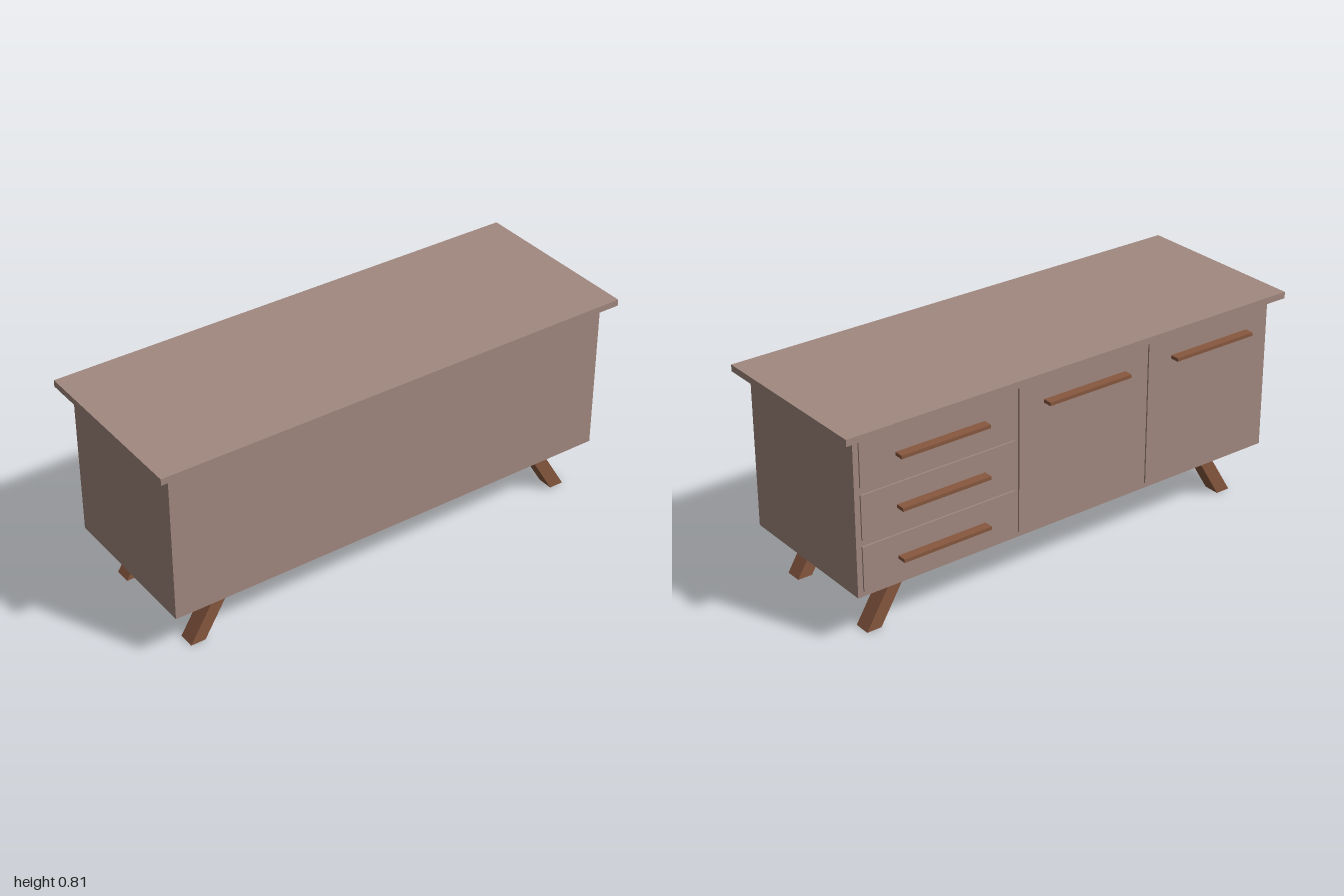
import * as THREE from 'three';

export function createModel() {
  const model = new THREE.Group();
  model.name = 'sideboard';
  const painted = new THREE.MeshStandardMaterial({ color: 0xa1887f });
  const wood = new THREE.MeshStandardMaterial({ color: 0x87583f });

  // Box given by its centre and size
  function box(name, material, [x, y, z], [w, h, d]) {
    const mesh = new THREE.Mesh(new THREE.BoxGeometry(w, h, d), material);
    mesh.name = name;
    mesh.position.set(x, y, z);
    model.add(mesh);
  }

  // Carcass and overhanging top
  box('cabinetBody', painted, [0, 0.4925, 0], [1.812, 0.595, 0.618]);
  box('tableTop', painted, [0, 0.8025, 0], [1.907, 0.025, 0.698]);

  // Slightly raised panel with a bar handle, on the -z side
  const panelFace = -0.315;
  function panel(name, x0, x1, y0, y1, handleY) {
    const x = (x0 + x1) / 2;
    box(name, painted, [x, (y0 + y1) / 2, panelFace + 0.005], [x1 - x0, y1 - y0, 0.01]);
    box(name + 'Handle', wood, [x - 0.006, handleY, panelFace - 0.0165], [0.36, 0.013, 0.037]);
  }

  // Three drawers, then two doors
  [[0.215, 0.385], [0.41, 0.577], [0.605, 0.77]].forEach(([y0, y1]) =>
    panel('drawer', 0.257, 0.885, y0, y1, (y0 + y1) / 2 - 0.002));
  panel('door', -0.32, 0.24, 0.215, 0.77, 0.69);
  panel('door', -0.892, -0.335, 0.215, 0.77, 0.69);

  // Leg frames: a rail with a splayed leg at each end
  const half = [[0.71, 0.195], [0.828, 0], [0.77, 0], [0.68, 0.15]];
  const outline = [...half, ...half.map(([x, y]) => [-x, y]).reverse()];
  const shape = new THREE.Shape(outline.map(([x, y]) => new THREE.Vector2(x, y)));
  const depth = 0.064;
  const frameGeometry = new THREE.ExtrudeGeometry(shape, { depth, bevelEnabled: false });
  frameGeometry.translate(0.006, 0, -depth / 2);
  for (const z of [0.222, -0.212]) {
    const frame = new THREE.Mesh(frameGeometry, wood);
    frame.name = 'legFrame';
    frame.position.z = z;
    model.add(frame);
  }

  // The whole piece stands at a slight angle
  model.rotation.y = -THREE.MathUtils.degToRad(10);
  const root = new THREE.Group();
  root.add(model);
  return root;
}
